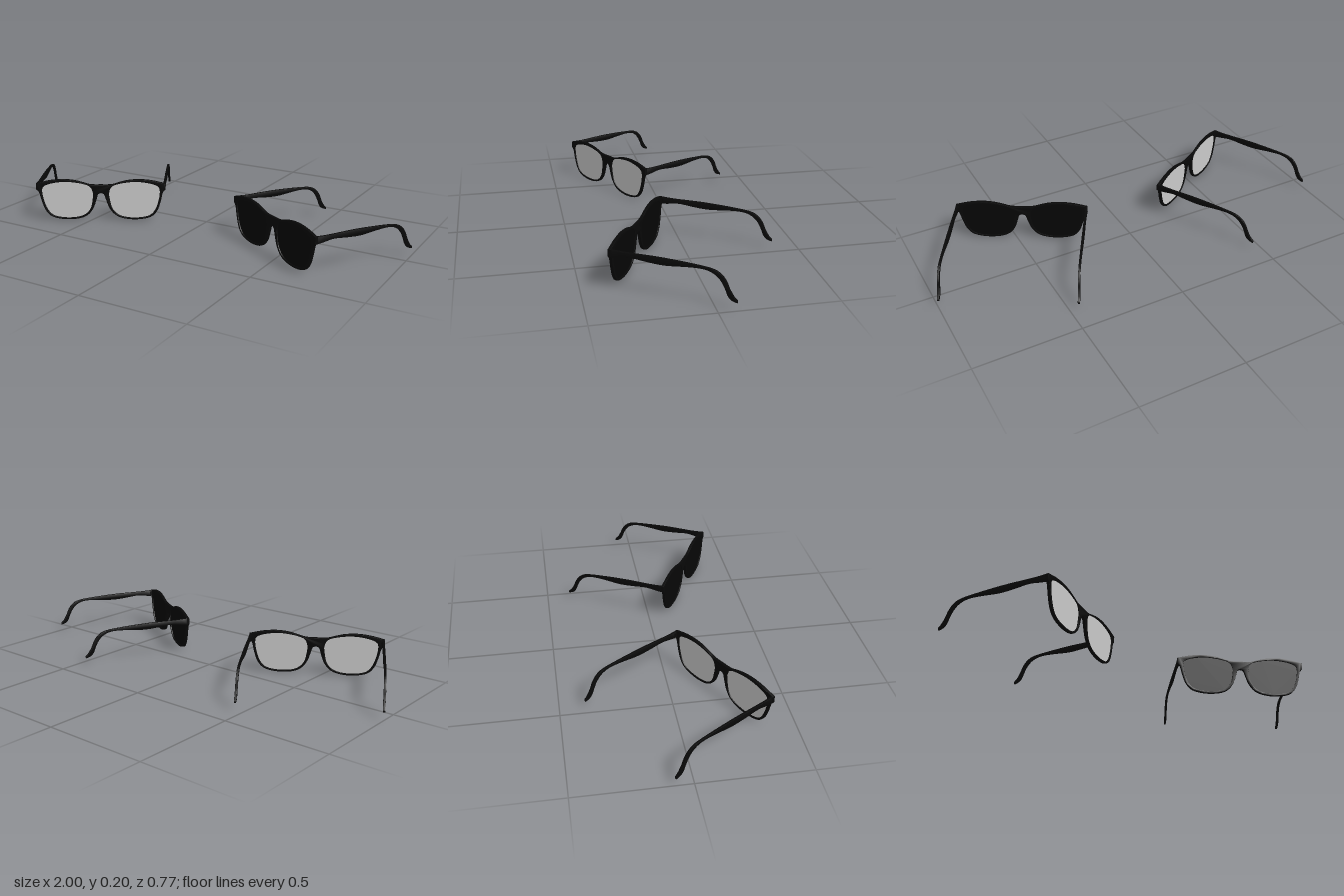
import * as THREE from 'three';
import { toCreasedNormals } from 'three/addons/utils/BufferGeometryUtils.js';

const black = new THREE.MeshStandardMaterial({ color: 0x080808 });
const darkLens = new THREE.MeshStandardMaterial({ color: 0x060606 });
const greyLens = new THREE.MeshStandardMaterial({ color: 0xcccccc });

const vecs = (pairs) => pairs.map(([x, y]) => new THREE.Vector2(x, y));
const smooth = (pairs, n) => new THREE.SplineCurve(vecs(pairs)).getPoints(n);
const mirror = (pts) => pts.map((p) => new THREE.Vector2(-p.x, p.y)).reverse();

// Half of the front's outline: brow from bridge to hinge, then rim back to the bridge
const brow = [[0, 0.177], [0.05, 0.178], [0.093, 0.19], [0.135, 0.2], [0.189, 0.204],
  [0.251, 0.198], [0.315, 0.183]];
const rim = [[0.315, 0.152], [0.302, 0.138], [0.29, 0.09], [0.273, 0.045], [0.24, 0.013],
  [0.175, 0.0], [0.11, 0.005], [0.068, 0.023], [0.04, 0.057], [0.024, 0.1], [0.015, 0.128], [0, 0.135]];

// Lens opening, counter-clockwise
const opening = [[0.038, 0.13], [0.05, 0.065], [0.075, 0.03], [0.115, 0.013], [0.175, 0.009],
  [0.233, 0.02], [0.263, 0.05], [0.281, 0.1], [0.287, 0.148], [0.275, 0.171], [0.23, 0.186],
  [0.165, 0.192], [0.095, 0.183], [0.052, 0.166]];

// Side view of a temple: distance behind the hinge, height
const templeTop = [[0, 0.184], [0.065, 0.18], [0.21, 0.179], [0.35, 0.171], [0.424, 0.162],
  [0.458, 0.145], [0.48, 0.118], [0.494, 0.086], [0.512, 0.056], [0.525, 0.043], [0.525, 0.033]];
const templeBottom = [[0.525, 0.033], [0.502, 0.041], [0.486, 0.058], [0.474, 0.087], [0.457, 0.118],
  [0.43, 0.143], [0.39, 0.156], [0.33, 0.156], [0.233, 0.148], [0.16, 0.152], [0.09, 0.159],
  [0.03, 0.152], [0, 0.15]];

// Extrude a shape, centred on its thickness, with small rounded edges
function slab(shape, thickness, bevel) {
  const geo = new THREE.ExtrudeGeometry(shape, {
    depth: thickness - 2 * bevel, bevelEnabled: bevel > 0, bevelThickness: bevel,
    bevelSize: bevel, bevelOffset: -bevel, bevelSegments: 2,
  });
  geo.translate(0, 0, bevel - thickness / 2);
  return toCreasedNormals(geo, 0.6);
}

function part(name, geo, material) {
  const mesh = new THREE.Mesh(geo, material);
  mesh.name = name;
  return mesh;
}

function createGlasses(name, lensMaterial) {
  const glasses = new THREE.Group();
  glasses.name = name;

  // Front frame with two lens openings
  const half = [...smooth(brow, 30), ...smooth(rim, 50)];
  const frame = new THREE.Shape([...half, ...mirror(half).slice(1, -1)]);
  const lensPoints = smooth([...opening, opening[0]], 56).slice(0, -1);
  frame.holes.push(new THREE.Path(lensPoints), new THREE.Path(mirror(lensPoints)));
  glasses.add(part('frontFrame', slab(frame, 0.014, 0.0015), black));

  for (const side of [1, -1]) {
    const label = side > 0 ? 'left' : 'right';

    // Lens
    const lensShape = new THREE.Shape(side > 0 ? lensPoints : mirror(lensPoints));
    glasses.add(part(label + 'Lens', slab(lensShape, 0.005, 0), lensMaterial));

    // Temple with curved ear tip
    const temple = slab(new THREE.Shape(
      [...smooth(templeTop, 50), ...smooth(templeBottom, 50).slice(1, -1)]), 0.01, 0.0015);
    temple.rotateY(Math.PI / 2);
    const arm = part(label + 'Temple', temple, black);
    arm.position.x = side * 0.309;
    glasses.add(arm);

    // Hinge block behind the corner of the front
    const hinge = part(label + 'Hinge', new THREE.BoxGeometry(0.01, 0.02, 0.012), black);
    hinge.position.set(side * 0.304, 0.167, -0.011);
    glasses.add(hinge);
  }
  return glasses;
}

export function createModel() {
  const model = new THREE.Group();
  model.name = 'sunglassesPair';

  // Two pairs turned towards each other
  const grey = createGlasses('greyLensGlasses', greyLens);
  grey.position.set(-0.466, 0, 0.224);
  grey.rotation.y = Math.PI / 6;
  const dark = createGlasses('darkLensGlasses', darkLens);
  dark.position.set(0.466, 0, 0.224);
  dark.rotation.y = -Math.PI / 6;
  model.add(grey, dark);
  return model;
}
